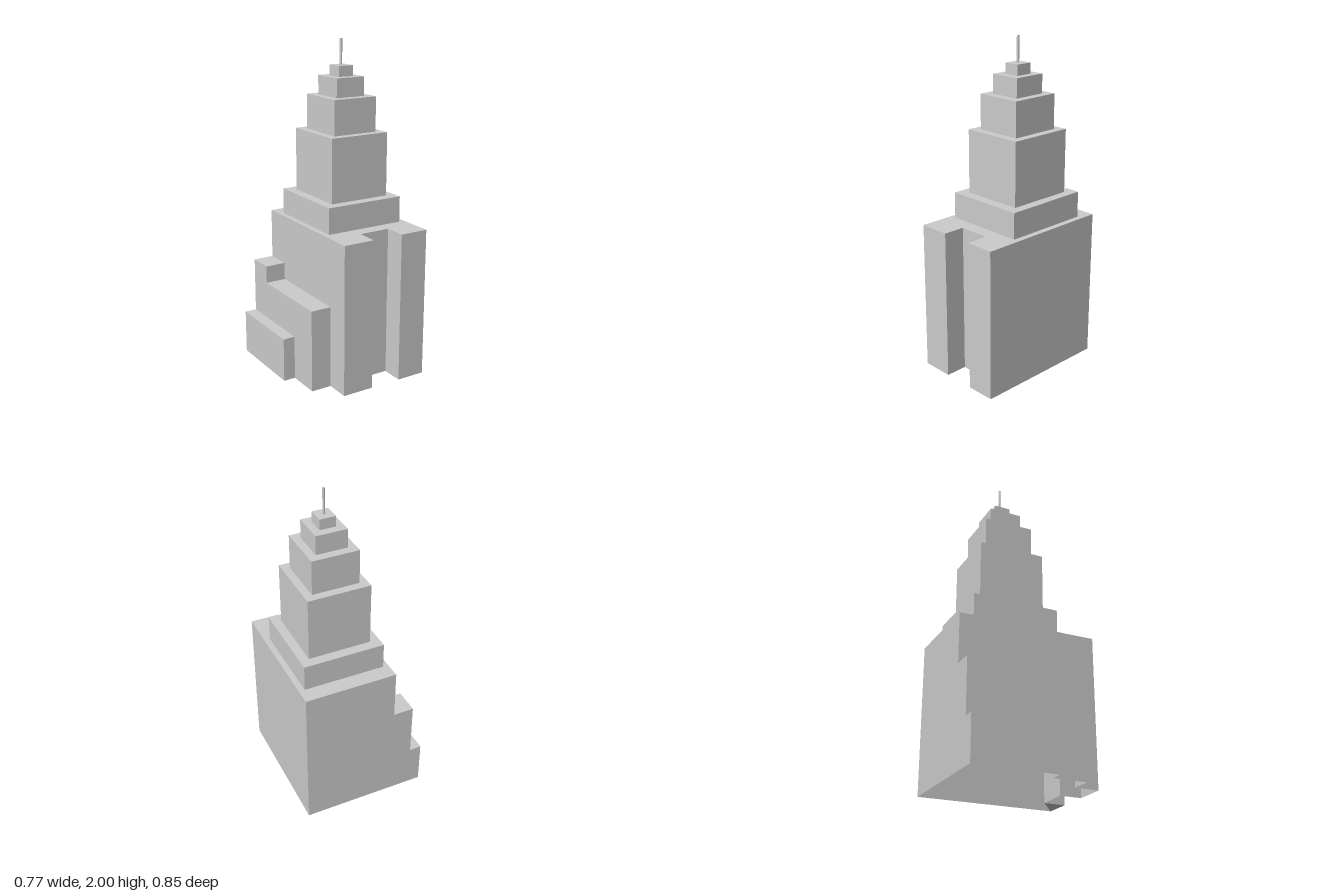
import * as THREE from 'three';
import { mergeGeometries } from 'three/addons/utils/BufferGeometryUtils.js';

const material = new THREE.MeshStandardMaterial({ color: 0xcccccc, flatShading: true, side: THREE.DoubleSide });

// Upright rectangle from (x1, z1) to (x2, z2); outside lies to the right of the direction of travel.
function panel([x1, z1], [x2, z2], y0, y1) {
  const g = new THREE.PlaneGeometry(Math.hypot(x2 - x1, z2 - z1), y1 - y0);
  g.rotateY(-Math.atan2(z2 - z1, x2 - x1));
  return g.translate((x1 + x2) / 2, (y0 + y1) / 2, (z1 + z2) / 2);
}

// Horizontal face with the given [x, z] outline.
function flat(points, y) {
  const shape = new THREE.Shape(points.map(([x, z]) => new THREE.Vector2(x, -z)));
  return new THREE.ShapeGeometry(shape).rotateX(-Math.PI / 2).translate(0, y, 0);
}

const rect = (x0, x1, z0, z1) => [[x0, z1], [x1, z1], [x1, z0], [x0, z0]];

function addPart(group, name, geometries) {
  const mesh = new THREE.Mesh(mergeGeometries(geometries), material);
  mesh.name = name;
  group.add(mesh);
}

export function createModel() {
  const group = new THREE.Group();
  group.name = 'steppedTower';

  const back = -0.428, front = 0.426;
  const xMain = -0.184, xMid = -0.312, xLow = -0.386, xLeft = 0.384;
  const zMid = 0.278, zStep = -0.268, zLow = 0.075, zNotch = 0.291;
  const hMain = 0.917, hTall = 0.61, hMid = 0.503, hLow = 0.27;

  // Main block: hollow, open below, with an entrance recess in the front
  const outline = [
    [xMain, zMid], [xMain, front], [0.011, front], [0.011, zNotch], [0.206, zNotch],
    [0.206, front], [xLeft, front], [xLeft, back], [xMain, back],
  ];
  const main = outline.slice(1).map((p, i) => panel(outline[i], p, 0, hMain));
  main.push(
    panel([xMain, back], [xMain, zStep], hTall, hMain),
    panel([xMain, zStep], [xMain, zMid], hMid, hMain),
    flat(outline, hMain),
  );
  addPart(group, 'mainBlock', main);

  // Small floor corner under the front pier
  addPart(group, 'pierFloor', [flat([[0.206, front], [0.206, zNotch], [xLeft, front]], 0)]);

  // Middle side wing, taller at the back, opening into the main block
  addPart(group, 'middleWing', [
    panel([xMid, zMid], [xMain, zMid], 0, hMid),
    panel([xMid, zLow], [xMid, zMid], 0, hMid),
    panel([xMid, zStep], [xMid, zLow], hLow, hMid),
    panel([xMid, back], [xMid, zStep], hLow, hTall),
    panel([xMain, back], [xMid, back], 0, hTall),
    panel([xMid, zStep], [xMain, zStep], hMid, hTall),
    flat(rect(xMid, xMain, zStep, zMid), hMid),
    flat(rect(xMid, xMain, back, zStep), hTall),
  ]);

  // Low outer wing, opening into the middle wing
  addPart(group, 'lowWing', [
    panel([xLow, zLow], [xMid, zLow], 0, hLow),
    panel([xLow, back], [xLow, zLow], 0, hLow),
    panel([xMid, back], [xLow, back], 0, hLow),
    flat(rect(xLow, xMid, back, zLow), hLow),
  ]);

  // Stepped tiers: x range, z range, top height
  let y = hMain;
  [
    [-0.15, 0.348, -0.329, 0.208, 1.075],
    [-0.091, 0.292, -0.267, 0.145, 1.46],
    [-0.043, 0.244, -0.216, 0.094, 1.669],
    [0.006, 0.195, -0.164, 0.041, 1.783],
    [0.052, 0.149, -0.113, -0.01, 1.846],
  ].forEach(([x0, x1, z0, z1, top], i) => {
    const c = rect(x0, x1, z0, z1);
    addPart(group, `tier${i + 1}`, [...c.map((p, k) => panel(p, c[(k + 1) % 4], y, top)), flat(c, top)]);
    y = top;
  });

  // Spire
  const spire = new THREE.CylinderGeometry(0.0075, 0.0075, 2 - y, 16).translate(0.1, (2 + y) / 2, -0.062);
  const mast = new THREE.Mesh(spire, new THREE.MeshStandardMaterial({ color: 0xcccccc }));
  mast.name = 'spire';
  group.add(mast);

  return group;
}
